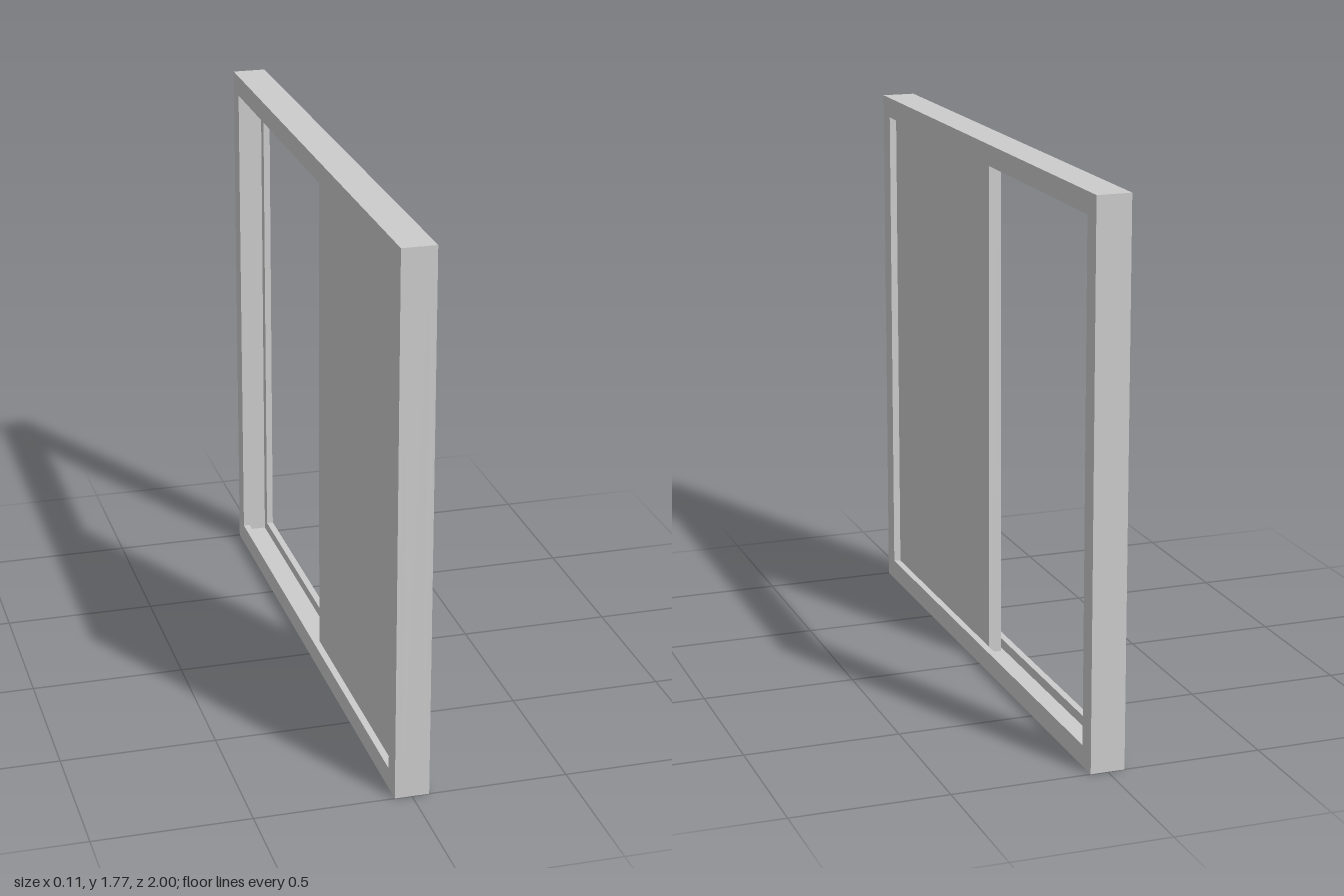
import * as THREE from 'three';

const HEIGHT = 1.77, HALF_LENGTH = 1, DEPTH = 0.11;
const LIP = 0.022;      // thickness of each retaining lip
const BORDER = 0.068;   // visible width of the frame
const GROOVE = 0.035;   // frame width at the bottom of the groove

const material = new THREE.MeshStandardMaterial({ color: 0xcccccc });

function rectangle(path, inset) {
  const z = HALF_LENGTH - inset, bottom = inset, top = HEIGHT - inset;
  path.moveTo(-z, bottom);
  path.lineTo(z, bottom);
  path.lineTo(z, top);
  path.lineTo(-z, top);
  path.closePath();
  return path;
}

// Rectangular ring in the y-z plane, centred on the given x
function ring(name, border, thickness, x) {
  const shape = rectangle(new THREE.Shape(), 0);
  shape.holes.push(rectangle(new THREE.Path(), border));
  const geometry = new THREE.ExtrudeGeometry(shape, { depth: thickness, bevelEnabled: false });
  geometry.translate(0, 0, -thickness / 2);
  geometry.rotateY(-Math.PI / 2);
  const mesh = new THREE.Mesh(geometry, material);
  mesh.name = name;
  mesh.position.x = x;
  return mesh;
}

export function createModel() {
  const model = new THREE.Group();
  model.name = 'slidingWindow';

  // Outer frame: two lips with a recessed track between them
  const frame = new THREE.Group();
  frame.name = 'frame';
  const lipX = (DEPTH - LIP) / 2;
  frame.add(
    ring('leftLip', BORDER, LIP, lipX),
    ring('track', GROOVE, DEPTH - 2 * LIP, 0),
    ring('rightLip', BORDER, LIP, -lipX)
  );
  model.add(frame);

  // Sliding panel, seated in the track and covering the front half
  const panelLength = HALF_LENGTH - GROOVE;
  const panel = new THREE.Mesh(
    new THREE.BoxGeometry(0.042, HEIGHT - 2 * GROOVE, panelLength),
    material
  );
  panel.name = 'slidingPanel';
  panel.position.set(0, HEIGHT / 2, panelLength / 2);
  model.add(panel);

  return model;
}
